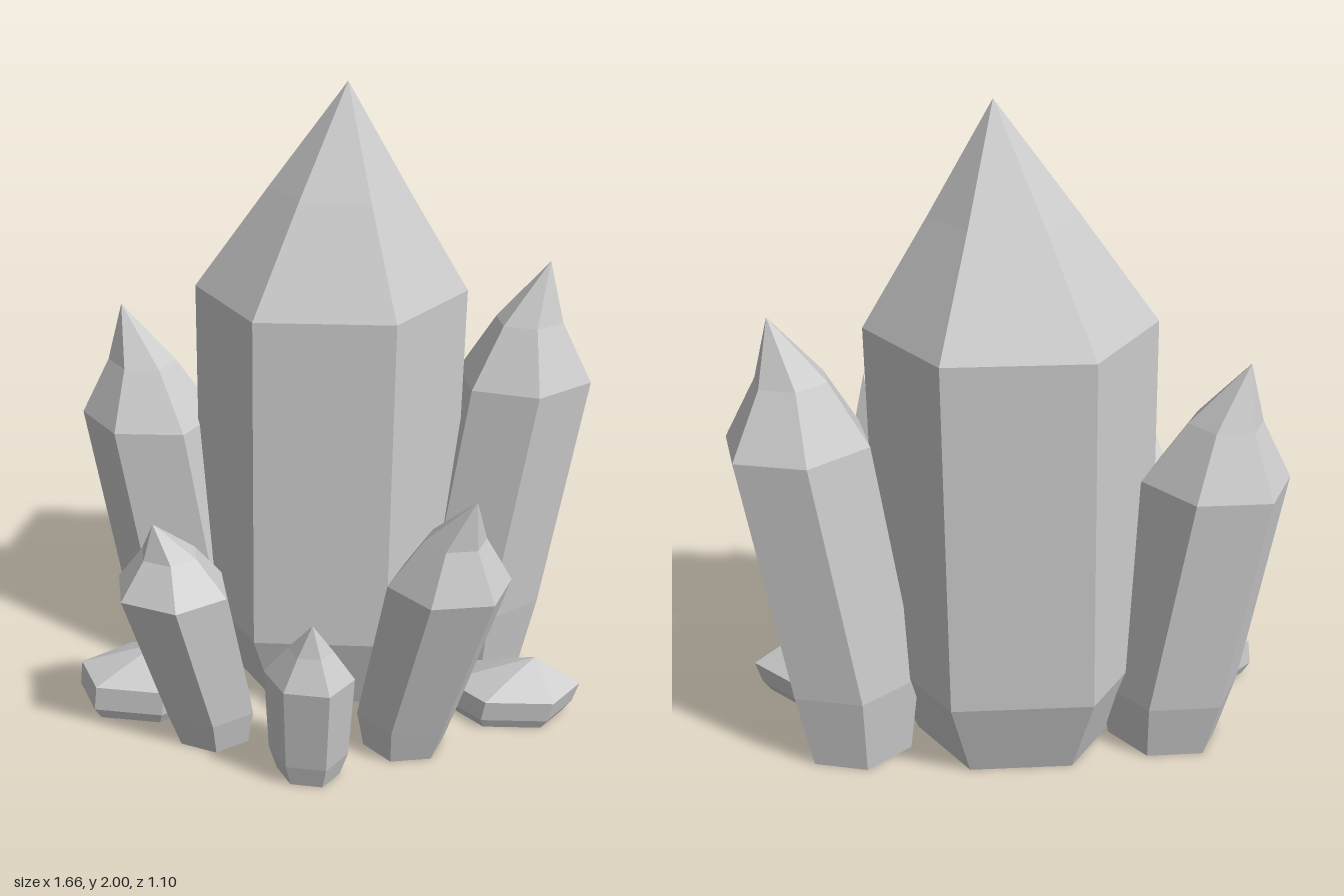
import * as THREE from 'three';

const material = new THREE.MeshStandardMaterial({ color: 0xcccccc, flatShading: true });

// A six-sided crystal. Its shoulder at height top is a skewed hexagon around centre,
// set by the left corner and the front-right corner (offsets from the centre).
// The lower ring at height low is moved by lean and scaled; foot scales the base.
function crystal(name, { apex, top, low, centre, left, front, lean, scale = 1, foot = 0.8 }) {
  const a = new THREE.Vector2(...left);
  const c = new THREE.Vector2(...front);
  const half = [a, a.clone().add(c), c];
  const hexagon = [...half, ...half.map((p) => p.clone().negate())];
  const place = (p, y, s, shift) => new THREE.Vector3(
    centre[0] + p.x * s + lean[0] * shift, y, centre[1] + p.y * s + lean[1] * shift);
  const ring = (y, s, shift) => hexagon.map((p) => place(p, y, s, shift));

  const tip = new THREE.Vector3(...apex);
  const upper = ring(top, 1, 0);
  // Slight bend halfway up the point
  const bend = new THREE.Vector3(lean[0] * 0.2, 0, lean[1] * 0.2);
  const middle = upper.map((p) => p.clone().lerp(tip, 0.5).add(bend));
  const rings = [ring(0, scale * foot, 1.1), ring(low, scale, 1), upper, middle];
  const baseCentre = place(new THREE.Vector2(), 0, 1, 1.1);

  const points = [];
  for (let i = 0; i < 6; i++) {
    const j = (i + 1) % 6;
    points.push(baseCentre, rings[0][j], rings[0][i]);
    for (let r = 0; r < 3; r++) {
      const lower = rings[r], next = rings[r + 1];
      points.push(lower[i], lower[j], next[j], lower[i], next[j], next[i]);
    }
    points.push(middle[i], middle[j], tip);
  }
  const geometry = new THREE.BufferGeometry().setFromPoints(points);
  geometry.computeVertexNormals();
  const mesh = new THREE.Mesh(geometry, material);
  mesh.name = name;
  return mesh;
}

export function createModel() {
  const group = new THREE.Group();
  group.name = 'crystalCluster';

  // Tall crystals at the back
  group.add(crystal('mainCrystal', {
    apex: [0.04, 2, -0.21], top: 1.36, low: 0.27, centre: [-0.01, -0.215],
    left: [-0.42, 0.03], front: [0.23, 0.3], lean: [-0.015, 0.01], foot: 0.74,
  }));
  group.add(crystal('backLeftCrystal', {
    apex: [0.66, 1.43, -0.35], top: 1.05, low: 0.26, centre: [0.597, -0.337],
    left: [-0.16, 0.15], front: [0.21, 0.037], lean: [-0.12, 0.03], scale: 0.98,
  }));
  group.add(crystal('backRightCrystal', {
    apex: [-0.69, 1.26, -0.26], top: 0.89, low: 0.19, centre: [-0.61, -0.247],
    left: [-0.22, 0.018], front: [0.145, 0.16], lean: [0.11, 0.01], scale: 0.98,
  }));

  // Short crystals at the front
  group.add(crystal('frontRightCrystal', {
    apex: [-0.46, 0.82, 0.38], top: 0.59, low: 0.12, centre: [-0.42, 0.343],
    left: [-0.175, -0.048], front: [0.045, 0.155], lean: [0.08, -0.09], scale: 0.85,
  }));
  group.add(crystal('frontLeftCrystal', {
    apex: [0.48, 0.96, 0.39], top: 0.65, low: 0.13, centre: [0.408, 0.315],
    left: [-0.18, 0.045], front: [0.135, 0.115], lean: [-0.12, -0.09], scale: 0.86,
  }));
  group.add(crystal('frontCrystal', {
    apex: [0.025, 0.58, 0.49], top: 0.38, low: 0.08, centre: [0.008, 0.445],
    left: [-0.137, -0.005], front: [0.075, 0.108], lean: [-0.01, -0.04], scale: 0.9,
  }));

  // Low, flat crystals at the sides
  group.add(crystal('flatRightCrystal', {
    apex: [-0.54, 0.22, 0.09], top: 0.125, low: 0.04, centre: [-0.577, 0.09],
    left: [-0.222, -0.005], front: [0.085, 0.142], lean: [-0.01, 0], foot: 0.88,
  }));
  group.add(crystal('flatLeftCrystal', {
    apex: [0.68, 0.21, 0], top: 0.105, low: 0.035, centre: [0.615, -0.005],
    left: [-0.215, 0.02], front: [0.13, 0.11], lean: [-0.015, 0], scale: 0.97, foot: 0.88,
  }));
  return group;
}
